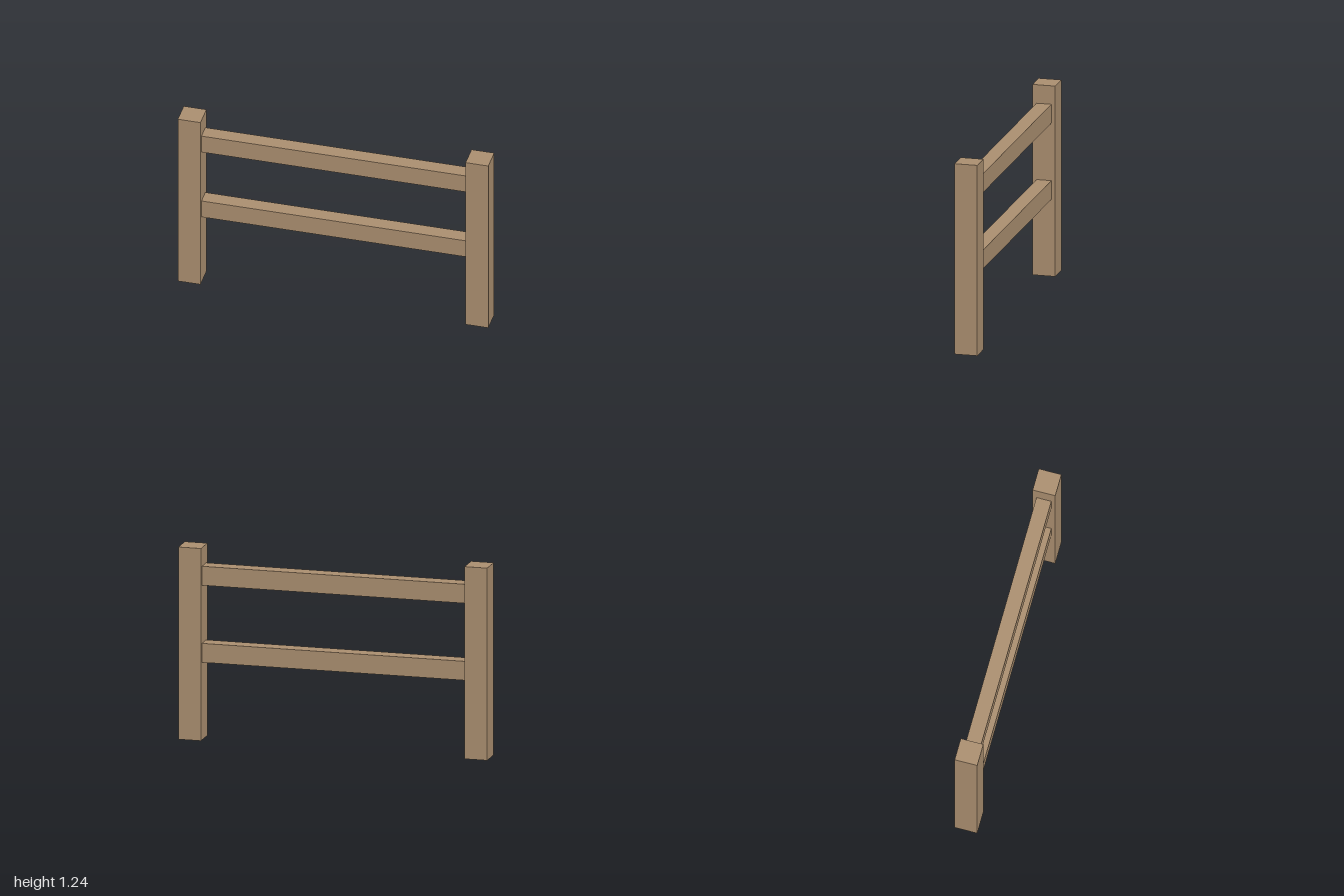
import * as THREE from 'three';

export function createModel() {
  const group = new THREE.Group();
  const wood = new THREE.MeshStandardMaterial({ color: 0xab8f70, flatShading: true });

  const addBeam = (name, width, height, depth, x, y) => {
    const beam = new THREE.Mesh(new THREE.BoxGeometry(width, height, depth), wood);
    beam.name = name;
    beam.position.set(x, y, 0);
    group.add(beam);
  };

  // Square upright posts
  const post = 0.146, postHeight = 1.235;
  for (const side of [-1, 1]) {
    addBeam(side > 0 ? 'leftPost' : 'rightPost', post, postHeight, post, side * (1 - post / 2), postHeight / 2);
  }

  // Horizontal rails spanning between the inner post faces
  const railLength = 2 - 2 * post;
  addBeam('lowerRail', railLength, 0.122, 0.096, 0, 0.559);
  addBeam('upperRail', railLength, 0.122, 0.096, 0, 1.054);

  return group;
}
